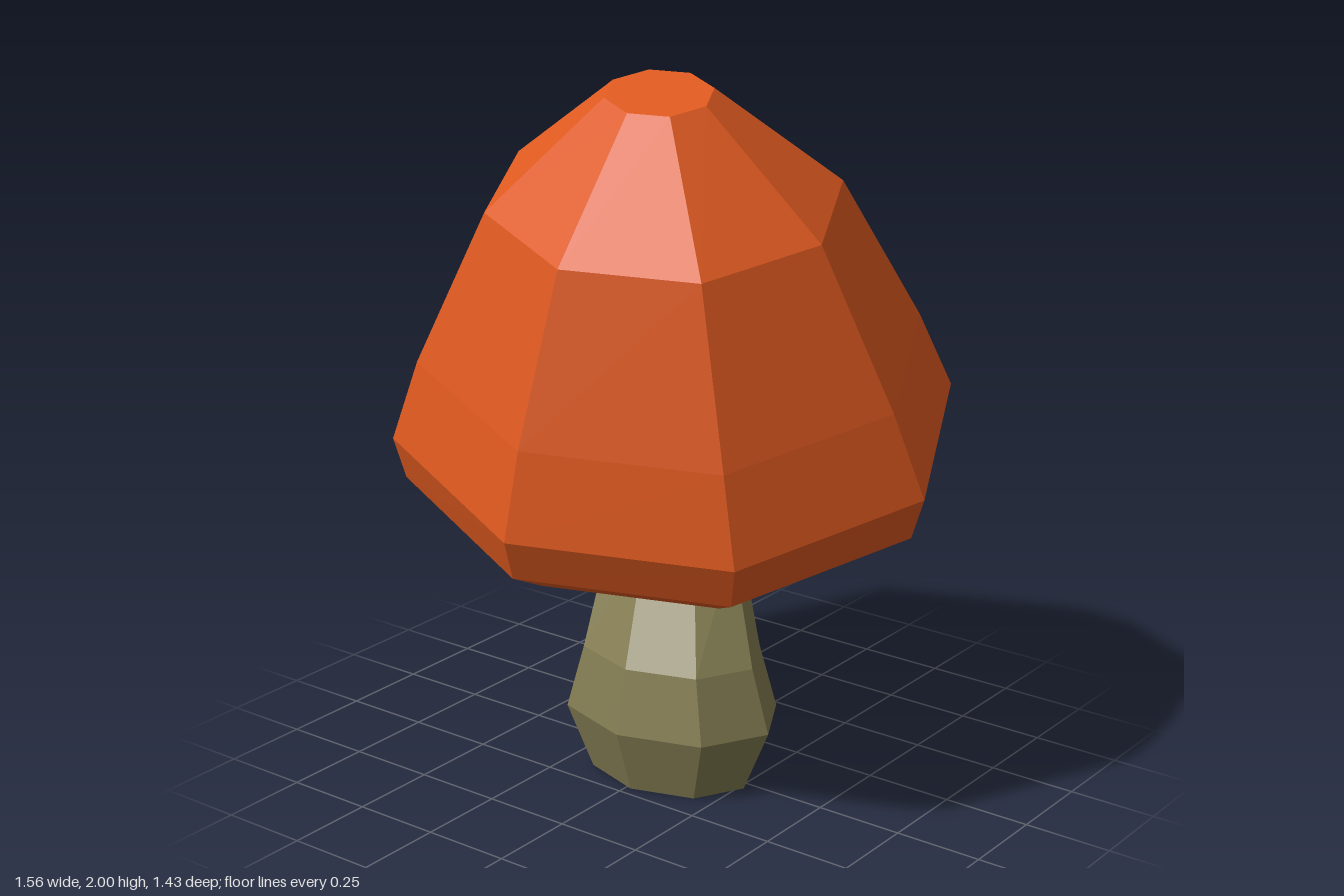
import * as THREE from 'three';

const SIDES = 8;

// Faceted solid through elliptical rings listed from bottom to top.
// ring: [cx, cy, cz, rx, rz, slopeX, slopeZ, skew]; slopes tilt the ring, skew turns it slightly
function ringSolid(name, rings, color) {
  const positions = [];
  const index = [];
  for (const [cx, cy, cz, rx, rz, slopeX = 0, slopeZ = 0, skew = 0] of rings) {
    for (let j = 0; j < SIDES; j++) {
      const a = (j / SIDES) * Math.PI * 2;
      const dx = Math.cos(a) * rx;
      const dz = Math.sin(a) * rz + dx * skew;
      positions.push(cx + dx, cy + dx * slopeX + dz * slopeZ, cz + dz);
    }
  }
  const last = (rings.length - 1) * SIDES;
  for (let j = 0; j < SIDES; j++) {
    const k = (j + 1) % SIDES;
    // side walls
    for (let base = 0; base < last; base += SIDES) {
      const a = base + j, b = base + k, c = a + SIDES, d = b + SIDES;
      index.push(a, c, b, b, c, d);
    }
    // flat bottom and top
    if (j > 0 && j < SIDES - 1) {
      index.push(0, j, k, last, last + k, last + j);
    }
  }
  const indexed = new THREE.BufferGeometry();
  indexed.setAttribute('position', new THREE.Float32BufferAttribute(positions, 3));
  indexed.setIndex(index);
  const geometry = indexed.toNonIndexed();
  geometry.computeVertexNormals();
  const mesh = new THREE.Mesh(geometry, new THREE.MeshStandardMaterial({ color, flatShading: true }));
  mesh.name = name;
  return mesh;
}

export function createModel() {
  const group = new THREE.Group();
  group.name = 'mushroom';

  // Bulbous stem leaning back, flaring again where it enters the cap
  group.add(ringSolid('stem', [
    [0.015, 0, 0.03, 0.25, 0.19],
    [0.015, 0.185, 0.03, 0.33, 0.25],
    [0.015, 0.365, 0.03, 0.275, 0.21],
    [-0.05, 0.69, -0.07, 0.2, 0.14, -0.127, -0.236],
    [-0.06, 0.86, -0.08, 0.235, 0.175, -0.127, -0.236],
  ], 0x837c52));

  // Cap tilted forwards and towards its left, flat underneath
  const capRings = [
    [-0.04, 0.82, -0.05, 0.62, 0.57],
    [-0.02, 0.915, -0.027, 0.75, 0.685],
    [0, 1.04, -0.003, 0.78, 0.715],
    [0.03, 1.265, 0.055, 0.69, 0.632],
    [0.095, 1.68, 0.165, 0.475, 0.435],
    [0.135, 1.965, 0.24, 0.143, 0.131],
  ].map((ring) => [...ring, -0.135, -0.236, -0.038]);
  group.add(ringSolid('cap', capRings, 0xe05a20));

  return group;
}
